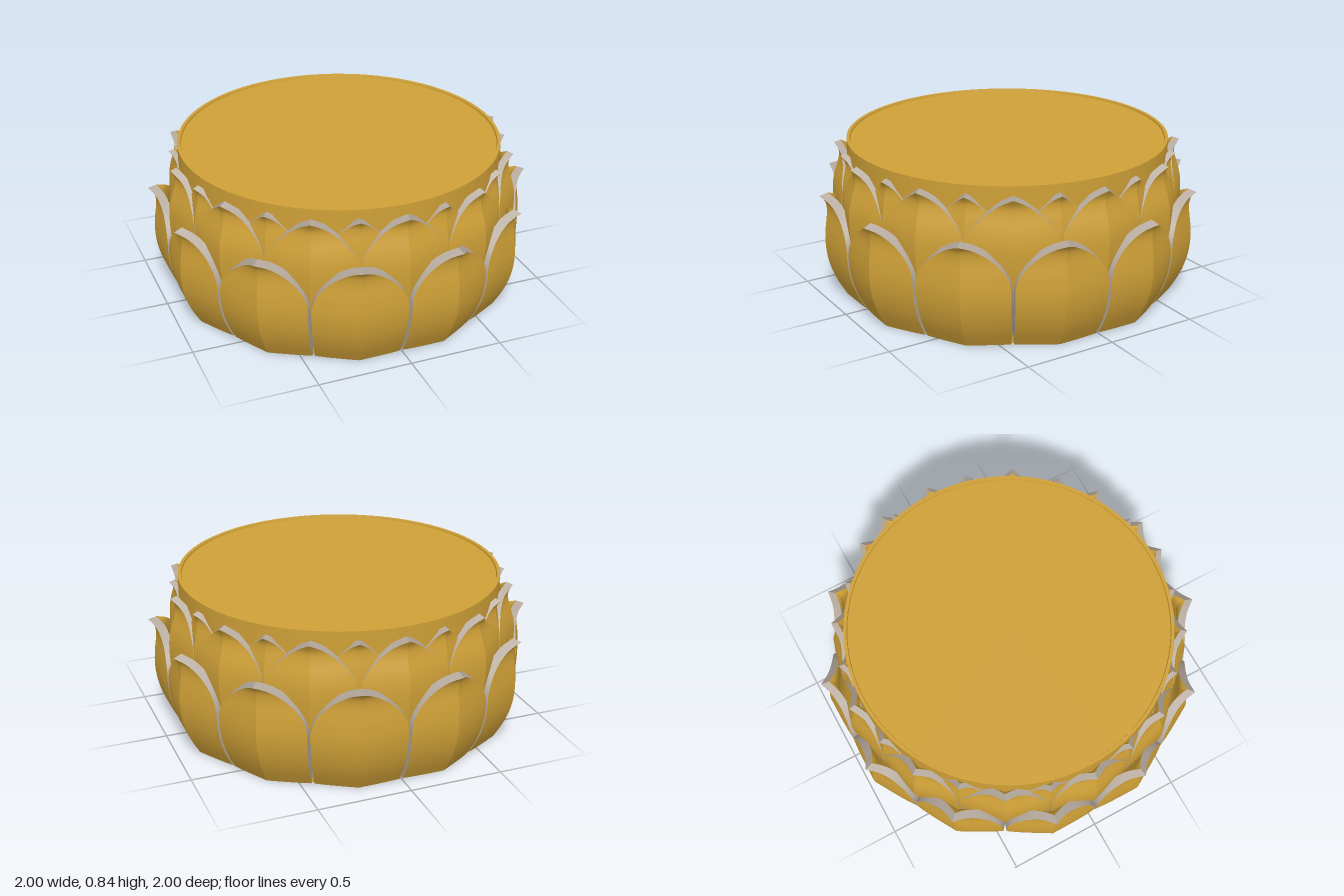
import * as THREE from 'three';
import { toCreasedNormals } from 'three/addons/utils/BufferGeometryUtils.js';

const gold = new THREE.MeshStandardMaterial({ color: 0xcfa037 });
gold.name = 'gold';
const grey = new THREE.MeshStandardMaterial({ color: 0xb2a69a, side: THREE.DoubleSide });
grey.name = 'warm grey';

const STEP = Math.PI / 6; // twelve petals per ring
const HALF = STEP / 2;

// Grid surface from a function of (u, v), both 0..1
function sheet(fn, nu, nv, flip = false) {
  const pos = [], idx = [];
  for (let j = 0; j <= nv; j++)
    for (let i = 0; i <= nu; i++) pos.push(...fn(i / nu, j / nv));
  for (let j = 0; j < nv; j++)
    for (let i = 0; i < nu; i++) {
      const a = j * (nu + 1) + i, b = a + 1, c = a + nu + 1, d = c + 1;
      if (flip) idx.push(a, d, b, a, c, d);
      else idx.push(a, b, d, a, d, c);
    }
  const g = new THREE.BufferGeometry();
  g.setAttribute('position', new THREE.Float32BufferAttribute(pos, 3));
  g.setIndex(idx);
  return toCreasedNormals(g, 0.4);
}

// Geometry of one petal: ridged front, back and the bevelled rim between them
function petalParts({ profile, shoulder, power, thick, bevel }) {
  const ridge = new THREE.SplineCurve(profile.map(([r, y]) => new THREE.Vector2(r, y)));
  const tip = profile[profile.length - 1][1];
  const point = (u, v, back) => {
    const p = ridge.getPoint(v);
    const s = Math.min(1, Math.max(0, (p.y - shoulder) / (tip - shoulder)));
    const width = 1 - Math.pow(s, power);
    const angle = u * HALF * width * (back ? 1 : 0.965);
    // each half is nearly flat, falling away slightly towards the seam
    let r = p.x * Math.cos(HALF) / Math.cos(HALF - Math.abs(angle));
    r *= 1 - 0.008 * Math.pow(angle / HALF, 4);
    if (back) r -= thick;
    const y = p.y - (back ? 0 : bevel * s);
    return [r * Math.sin(angle), y, r * Math.cos(angle)];
  };
  const rim = side => sheet((u, v) => {
    const a = point(side, v, false), b = point(side, v, true);
    return a.map((n, k) => n + (b[k] - n) * u);
  }, 1, 28);
  return [
    ['petalFront', sheet((u, v) => point(u * 2 - 1, v, false), 10, 28), gold],
    ['petalBack', sheet((u, v) => point(u * 2 - 1, v, true), 10, 28, true), gold],
    ['petalRimLeft', rim(1), grey],
    ['petalRimRight', rim(-1), grey],
  ];
}

function petalRing(name, offset, spec) {
  const ring = new THREE.Group();
  ring.name = name;
  const parts = petalParts(spec);
  for (let i = 0; i < 12; i++) {
    const petal = new THREE.Group();
    petal.name = 'petal';
    petal.rotation.y = offset + i * STEP;
    for (const [part, geometry, material] of parts) {
      const mesh = new THREE.Mesh(geometry, material);
      mesh.name = part;
      petal.add(mesh);
    }
    ring.add(petal);
  }
  return ring;
}

export function createModel() {
  const model = new THREE.Group();
  model.name = 'lotusPedestal';

  // Round core with a thin raised lip around the top
  const profile = [[0, 0.003], [0.865, 0.003], [0.865, 0.84], [0.848, 0.84], [0.845, 0.828], [0, 0.828]]
    .map(([x, y]) => new THREE.Vector2(x, y));
  const core = new THREE.Mesh(toCreasedNormals(new THREE.LatheGeometry(profile, 96), 0.4), gold);
  core.name = 'core';
  model.add(core);

  // Underside plate, cornered on the outer petal ridges
  const base = new THREE.Mesh(new THREE.CircleGeometry(0.91, 12, HALF).rotateX(Math.PI / 2), gold);
  base.name = 'underside';
  model.add(base);

  model.add(petalRing('outerPetals', HALF, {
    profile: [[0.91, 0], [0.965, 0.1], [1.0, 0.2], [1.014, 0.3], [1.01, 0.4], [0.998, 0.5], [1.005, 0.56], [1.035, 0.595]],
    shoulder: 0.32, power: 2.2, thick: 0.045, bevel: 0.016,
  }));
  model.add(petalRing('middlePetals', 0, {
    profile: [[0.93, 0.25], [0.952, 0.42], [0.955, 0.54], [0.943, 0.62], [0.917, 0.71], [0.914, 0.76], [0.936, 0.805]],
    shoulder: 0.56, power: 1.7, thick: 0.035, bevel: 0.014,
  }));
  model.add(petalRing('innerPetals', HALF, {
    profile: [[0.91, 0.4], [0.915, 0.55], [0.905, 0.65], [0.89, 0.73], [0.892, 0.77], [0.912, 0.802]],
    shoulder: 0.5, power: 1.8, thick: 0.03, bevel: 0.012,
  }));
  return model;
}
